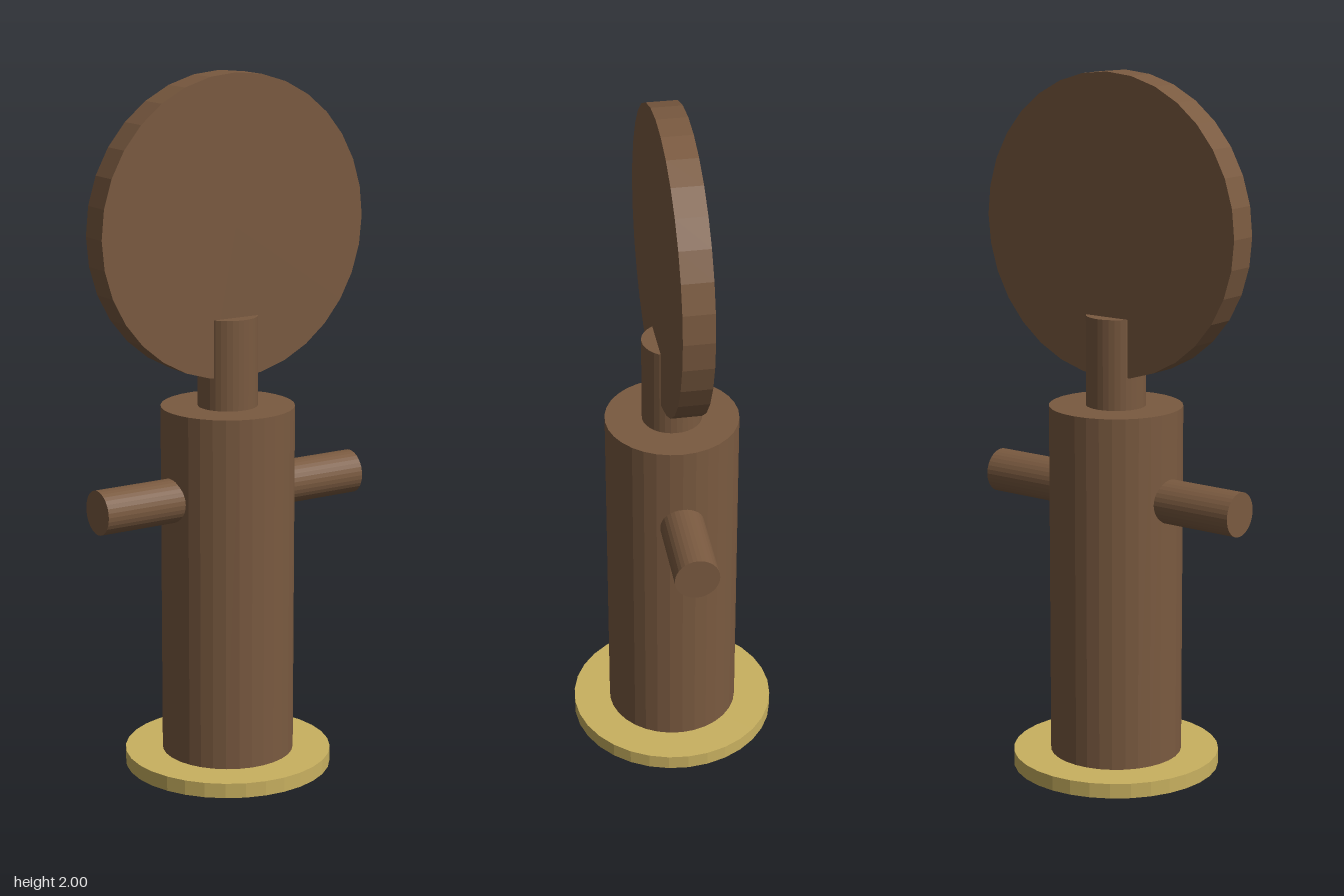
import * as THREE from 'three';

export function createModel() {
  const model = new THREE.Group();

  const brown = new THREE.MeshStandardMaterial({ color: 0x7a5a40 });
  brown.name = 'brown wood';
  const gold = new THREE.MeshStandardMaterial({ color: 0xc9b160 });
  gold.name = 'pale gold';
  for (const material of [brown, gold]) material.flatShading = true;

  // Upright 32-sided cylinder from its bottom to its top
  function cylinder(name, radius, bottom, top, material) {
    const mesh = new THREE.Mesh(new THREE.CylinderGeometry(radius, radius, top - bottom, 32), material);
    mesh.name = name;
    mesh.position.y = (bottom + top) / 2;
    model.add(mesh);
    return mesh;
  }

  // Stand, body and neck
  cylinder('base', 0.298, 0, 0.043, gold);
  cylinder('body', 0.19, 0.002, 1.065, brown);
  cylinder('neck', 0.085, 1.06, 1.322, brown);

  // Round head standing on edge, facing the front
  const head = cylinder('head', 0.425, 1.532, 1.618, brown);
  head.rotation.x = Math.PI / 2;

  // Crossbar running through the body as two arms
  const arms = cylinder('arms', 0.063, 0.387, 1.237, brown);
  arms.rotation.z = Math.PI / 2;

  return model;
}
